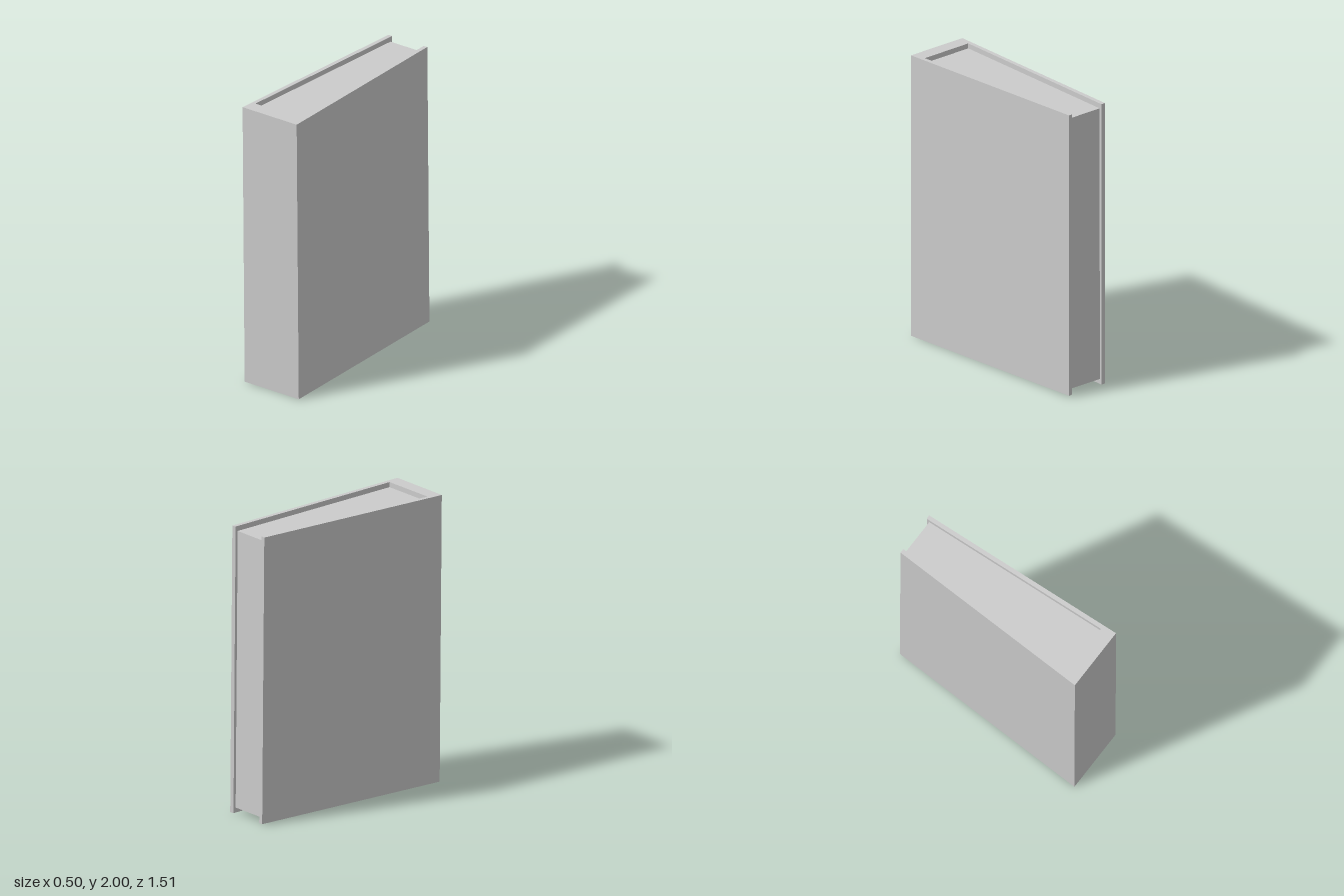
import * as THREE from 'three';

const HEIGHT = 1.992;
const RECESS = 0.035; // how far the pages sit inside the cover edges

// Extrude a floor outline of [x, z] points upward between two heights
function prism(name, outline, y0, y1, material) {
  const shape = new THREE.Shape(outline.map(([x, z]) => new THREE.Vector2(x, -z)));
  const geometry = new THREE.ExtrudeGeometry(shape, { depth: y1 - y0, bevelEnabled: false });
  geometry.rotateX(-Math.PI / 2).translate(0, y0, 0);
  const mesh = new THREE.Mesh(geometry, material);
  mesh.name = name;
  return mesh;
}

export function createModel() {
  const material = new THREE.MeshStandardMaterial({ color: 0xcccccc, flatShading: true });
  const book = new THREE.Group();
  book.name = 'book';

  // U-shaped cover: right board, thick spine at the front, left board
  const innerFrontRight = [-0.205, 0.625];
  const innerFrontLeft = [0.18, 0.65];
  book.add(prism('cover', [
    [-0.245, 0.717], [0.208, 0.75], [0.242, -0.732], [0.213, -0.73],
    innerFrontLeft, innerFrontRight, [-0.048, -0.747], [-0.079, -0.75],
  ], 0, HEIGHT, material));

  // Wedge-shaped page block, short of the boards at top, bottom and back
  book.add(prism('pages', [
    innerFrontRight, innerFrontLeft, [0.2125, -0.711], [-0.0505, -0.73],
  ], RECESS, HEIGHT - RECESS, material));

  // The book leans very slightly
  book.rotation.set(0.005, 0, 0.005);
  book.position.set(0.005, 0.004, -0.005);

  const model = new THREE.Group();
  model.name = 'model';
  model.add(book);
  return model;
}
